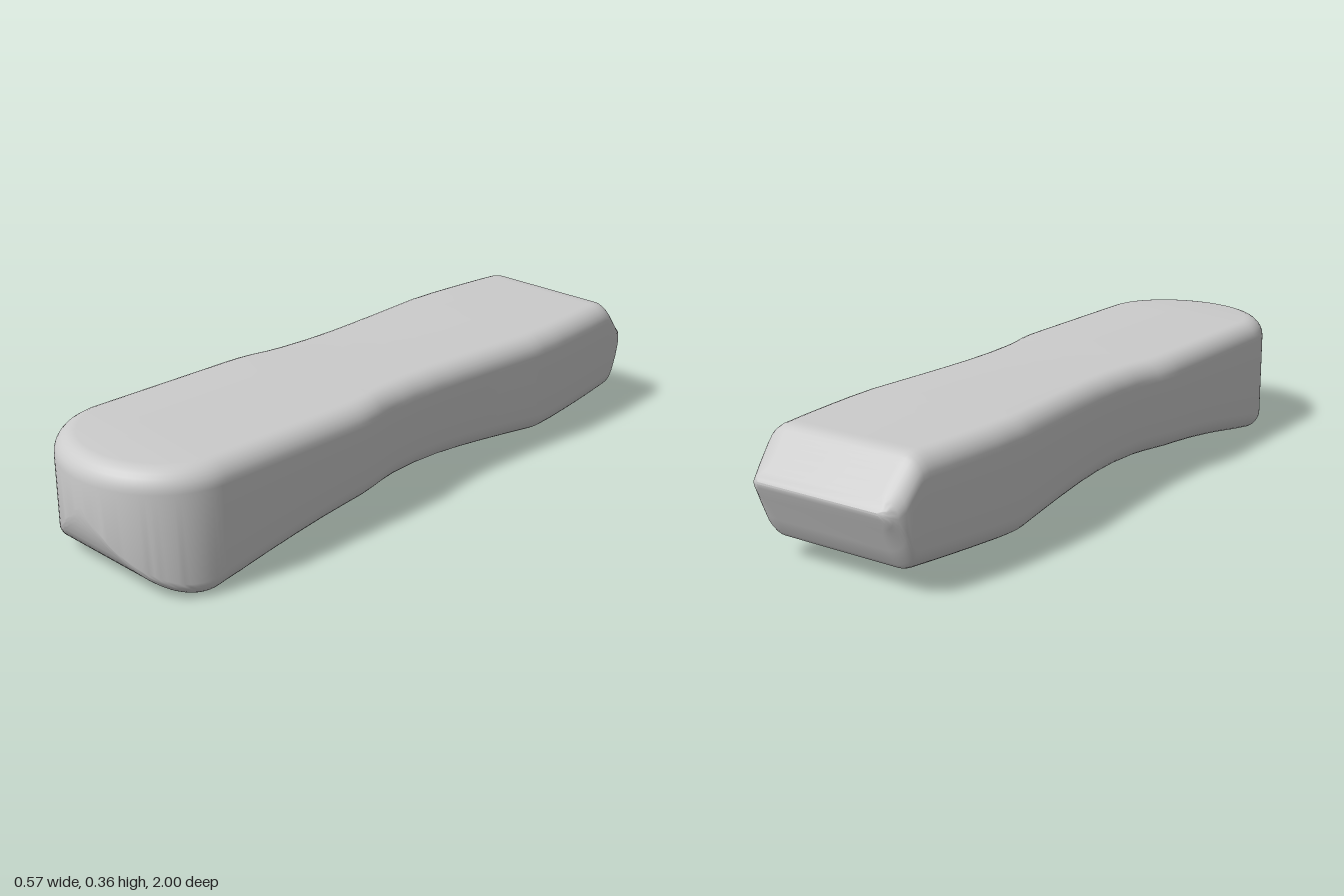
import * as THREE from 'three';
import { toCreasedNormals } from 'three/addons/utils/BufferGeometryUtils.js';

// Piecewise lookup in [z, value] pairs sorted by z
function lookup(table, z) {
  if (z <= table[0][0]) return table[0][1];
  for (let i = 1; i < table.length; i++) {
    const [z0, v0] = table[i - 1], [z1, v1] = table[i];
    if (z <= z1) return v0 + (v1 - v0) * (z - z0) / (z1 - z0);
  }
  return table[table.length - 1][1];
}

// Half width of the plan outline: waisted in the middle, rounded back corners
const WIDTH = [[-1, 0.2], [-0.99, 0.222], [-0.97, 0.238], [-0.95, 0.246], [-0.92, 0.25], [-0.8, 0.264],
  [-0.7, 0.273], [-0.6, 0.28], [-0.5, 0.282], [-0.4, 0.274], [-0.3, 0.266], [-0.2, 0.259], [-0.1, 0.254],
  [0, 0.254], [0.1, 0.26], [0.15, 0.267], [0.2, 0.278], [0.25, 0.284], [0.3, 0.285]];
// Underside: arched grip, with a wedge rising to the back ridge
const UNDER = [[-1, 0.229], [-0.99, 0.207], [-0.93, 0.08], [-0.92, 0.068], [-0.91, 0.065], [-0.53, 0.043],
  [-0.4, 0.056], [-0.3, 0.065], [-0.2, 0.073], [-0.1, 0.079], [0, 0.082], [0.1, 0.082], [0.2, 0.079],
  [0.3, 0.071], [0.4, 0.06], [0.5, 0.046], [0.6, 0.03], [0.7, 0.012], [0.75, 0.004], [0.79, 0]];
// Flat top with a chamfer down to the back ridge
const TOP = [[-1, 0.236], [-0.99, 0.247], [-0.91, 0.339], [-0.9, 0.349], [-0.89, 0.356], [-0.87, 0.36]];

const NOSE_Z = 0.75, HALF = 0.285, R = 0.06, STEPS = 7;

// The underside sweeps up to vertical at the nose
function under(z) {
  if (z <= 0.79) return lookup(UNDER, z);
  const t = Math.min(1, (z - 0.79) / 0.21);
  return 0.22 * (1 - Math.sqrt(1 - t * t));
}

// Stations along the body: position, half width and outward direction of the wall
function makeStations() {
  const list = [];
  for (const z of [-1, -0.995, -0.99, -0.98, -0.97, -0.95, -0.93, -0.92, -0.91, -0.9, -0.89, -0.87, -0.85])
    list.push({ z, w: lookup(WIDTH, z), nx: 1, nz: 0 });
  for (let z = -0.8; z < NOSE_Z - 0.01; z += 0.025)
    list.push({ z, w: lookup(WIDTH, z), nx: 1, nz: 0 });
  const n = 28, depth = 1 - NOSE_Z;
  for (let i = 0; i <= n; i++) {
    const a = (i / n) * Math.PI / 2;
    const normal = new THREE.Vector2(Math.cos(a) / HALF, Math.sin(a) / depth).normalize();
    list.push({ z: NOSE_Z + depth * Math.sin(a), w: i === n ? 0 : HALF * Math.cos(a),
      nx: i === n ? 0 : normal.x, nz: normal.y });
  }
  return list;
}

// One rounded cross-section, running up the left wall and down the mirrored right wall
function makeRing({ z, w, nx, nz }) {
  const yT = lookup(TOP, z), h = yT - under(z);
  const rTop = Math.min(R, h * 0.48);
  const rLow = Math.min(R * (1 - 0.9 * nz), h * 0.48);
  const side = [];
  for (let k = 0; k <= STEPS; k++) {
    const a = (1 - k / STEPS) * Math.PI / 2, d = rLow * (1 - Math.cos(a)), zi = z - nz * d;
    side.push([w - nx * d, under(zi) + rLow * (1 - Math.sin(a)), zi]);
  }
  for (let k = 0; k <= STEPS; k++) {
    const a = (k / STEPS) * Math.PI / 2, d = rTop * (1 - Math.cos(a));
    side.push([w - nx * d, yT - rTop * (1 - Math.sin(a)), z - nz * d]);
  }
  return [...side, ...side.map(([x, y, zz]) => [-x, y, zz]).reverse()];
}

export function createModel() {
  const group = new THREE.Group();
  group.name = 'roundedHandle';

  const rings = makeStations().map(makeRing);
  const m = rings[0].length, positions = rings.flat(2), index = [];
  for (let i = 0; i < rings.length - 1; i++) {
    for (let j = 0; j < m; j++) {
      const k = (j + 1) % m;
      const a = i * m + j, b = i * m + k, c = a + m, d = b + m;
      index.push(a, b, d, a, d, c);
    }
  }
  // Close the narrow back ridge
  const centre = positions.length / 3;
  positions.push(0, 0.2325, -1);
  for (let j = 0; j < m; j++) index.push(centre, (j + 1) % m, j);

  const geometry = new THREE.BufferGeometry();
  geometry.setAttribute('position', new THREE.Float32BufferAttribute(positions, 3));
  geometry.setIndex(index);

  const body = new THREE.Mesh(toCreasedNormals(geometry, 0.6),
    new THREE.MeshStandardMaterial({ color: 0xcccccc }));
  body.name = 'body';
  group.add(body);
  return group;
}
